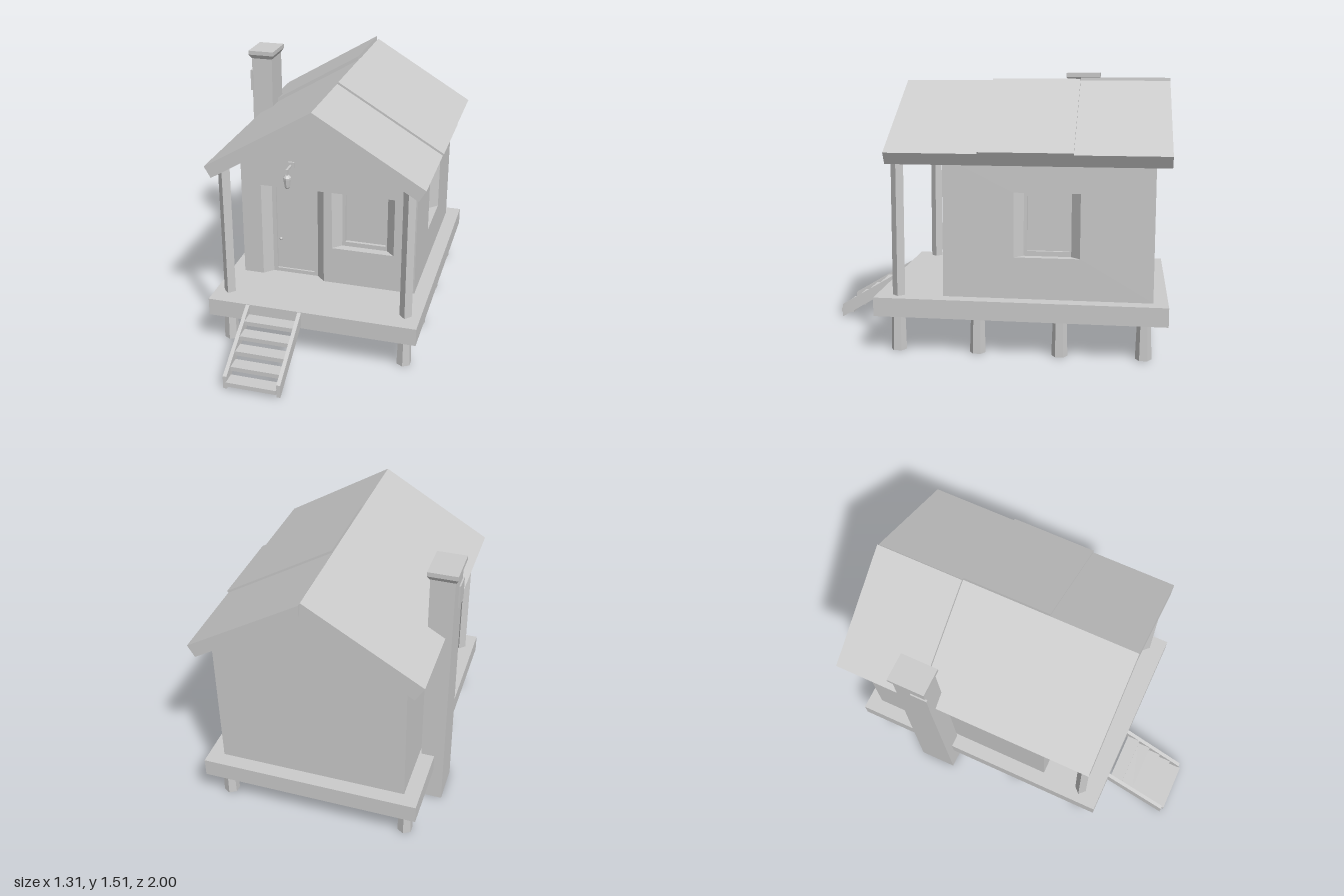
import * as THREE from 'three';

const mat = new THREE.MeshStandardMaterial({ color: 0xcccccc, flatShading: true, side: THREE.DoubleSide });
const DECK = 0.31, CX = 0.025, HALF = 0.525, FRONT = 0.225, BACK = -0.92;

function add(parent, name, geometry, x = 0, y = 0, z = 0) {
  const mesh = new THREE.Mesh(geometry, mat);
  mesh.name = name;
  mesh.position.set(x, y, z);
  parent.add(mesh);
  return mesh;
}

// Box given by its limits on each axis
function box(parent, name, x0, x1, y0, y1, z0, z1) {
  return add(parent, name, new THREE.BoxGeometry(x1 - x0, y1 - y0, z1 - z0),
    (x0 + x1) / 2, (y0 + y1) / 2, (z0 + z1) / 2);
}

const outline = (pts) => new THREE.Shape(pts.map(([x, y]) => new THREE.Vector2(x, y)));
const rect = (x0, x1, y0, y1) => outline([[x0, y0], [x1, y0], [x1, y1], [x0, y1]]);
const extrude = (shape, depth) => new THREE.ExtrudeGeometry(shape, { depth, bevelEnabled: false });

// Recess with splayed jambs behind an opening in a wall facing +z
function recess(parent, name, x0, x1, y0, y1, splay, depth) {
  const a = x0 + splay, b = x1 - splay, d = -depth;
  const geometry = new THREE.BufferGeometry();
  geometry.setAttribute('position', new THREE.Float32BufferAttribute([
    x0, y0, 0, x1, y0, 0, x1, y1, 0, x0, y1, 0,
    a, y0, d, b, y0, d, b, y1, d, a, y1, d], 3));
  const index = [];
  for (let i = 0; i < 4; i++) {
    const j = (i + 1) % 4;
    index.push(i, j, j + 4, i, j + 4, i + 4);
  }
  geometry.setIndex(index);
  const flat = geometry.toNonIndexed();
  flat.computeVertexNormals();
  add(parent, name, flat);
}

// Window: splayed recess, frame and sunken pane
function addWindow(parent, x0, x1, y0, y1) {
  recess(parent, 'windowRecess', x0, x1, y0, y1, 0.05, 0.05);
  const frame = rect(x0 + 0.05, x1 - 0.05, y0, y1);
  frame.holes.push(rect(x0 + 0.07, x1 - 0.06, y0 + 0.027, y1 - 0.025));
  add(parent, 'windowFrame', extrude(frame, 0.02), 0, 0, -0.07);
  box(parent, 'windowPane', x0 + 0.05, x1 - 0.05, y0, y1, -0.08, -0.07);
}

function addWalls(house) {
  const eave = 1.09, ridge = 1.41;
  const gable = () => outline([[CX - HALF, DECK], [CX + HALF, DECK], [CX + HALF, eave], [CX, ridge], [CX - HALF, eave]]);

  const front = new THREE.Group();
  front.name = 'frontWall';
  front.position.z = FRONT;
  house.add(front);
  // The doorway is part of the outline as it reaches the floor
  const frontShape = outline([[CX - HALF, DECK], [-0.38, DECK], [-0.38, 0.895], [0, 0.895], [0, DECK],
    [CX + HALF, DECK], [CX + HALF, eave], [CX, ridge], [CX - HALF, eave]]);
  frontShape.holes.push(rect(0.05, 0.42, 0.54, 0.895));
  add(front, 'frontGable', new THREE.ShapeGeometry(frontShape));
  addWindow(front, 0.05, 0.42, 0.54, 0.895);

  recess(front, 'doorRecess', -0.38, 0, DECK, 0.895, 0.05, 0.05);
  const doorFrame = rect(-0.33, -0.05, DECK, 0.895);
  doorFrame.holes.push(rect(-0.305, -0.072, 0.333, 0.87));
  add(front, 'doorFrame', extrude(doorFrame, 0.015), 0, 0, -0.065);
  box(front, 'door', -0.33, -0.05, DECK, 0.895, -0.08, -0.062);
  add(front, 'doorKnob', new THREE.SphereGeometry(0.009, 10, 8), -0.28, 0.535, -0.048);

  add(house, 'backWall', new THREE.ShapeGeometry(gable()), 0, 0, BACK);

  // Side walls are drawn facing +z, then turned so that their x runs along -z
  const left = new THREE.Group();
  left.name = 'leftWall';
  left.position.x = CX + HALF;
  left.rotation.y = Math.PI / 2;
  house.add(left);
  const side = rect(-FRONT, -BACK, DECK, eave);
  side.holes.push(rect(0.165, 0.525, 0.54, 0.895));
  add(left, 'sideWall', new THREE.ShapeGeometry(side));
  addWindow(left, 0.165, 0.525, 0.54, 0.895);
  const right = add(house, 'rightWall', new THREE.ShapeGeometry(rect(-FRONT, -BACK, DECK, eave)), CX - HALF);
  right.rotation.y = Math.PI / 2;
}

// Roof slab on one side; lift raises its top surface square to the slope
function roofPanel(house, s, z0, z1, lift) {
  const nx = 0.515 * lift, ny = 0.857 * lift;
  const p = [[nx, 1.48 + ny], [0.62 + nx, 1.11 + ny], [0.582, 1.045], [0, 1.395]];
  add(house, 'roofPanel', extrude(outline(p.map(([x, y]) => [CX + s * x, y])), z1 - z0), 0, 0, z0);
}

function addStairs(house) {
  const stairs = new THREE.Group();
  stairs.name = 'stairs';
  house.add(stairs);
  const stringer = outline([[-0.595, 0.31], [-0.985, 0.078], [-0.985, 0], [-0.595, 0.232]]);
  for (const x of [-0.356, -0.047]) {
    const mesh = add(stairs, 'stringer', extrude(stringer, 0.022), x);
    mesh.rotation.y = Math.PI / 2;
  }
  for (let i = 0; i < 5; i++) {
    const y = 0.024 + i * 0.051, z = 0.998 - i * 0.077;
    box(stairs, 'tread', -0.335, -0.046, y, y + 0.026, z - 0.078, z);
  }
}

function addChimney(house) {
  const chimney = new THREE.Group();
  chimney.name = 'chimney';
  house.add(chimney);
  // Square stack whose depth narrows a little toward the top
  const stack = new THREE.BoxGeometry(0.13, 1.47, 0.205);
  const pos = stack.attributes.position;
  for (let i = 0; i < pos.count; i++) pos.setZ(i, pos.getZ(i) * (pos.getY(i) < 0 ? 1.08 : 0.88));
  add(chimney, 'stack', stack, -0.575, 0.735, -0.482);
  const flare = new THREE.BoxGeometry(0.16, 0.025, 0.212);
  const fp = flare.attributes.position;
  for (let i = 0; i < fp.count; i++) {
    if (fp.getY(i) < 0) fp.setXYZ(i, fp.getX(i) * 0.82, fp.getY(i), fp.getZ(i) * 0.86);
  }
  add(chimney, 'capFlare', flare, -0.575, 1.4775, -0.48);
  box(chimney, 'cap', -0.655, -0.495, 1.49, 1.515, -0.586, -0.374);
  box(chimney, 'ventPlate', -0.648, -0.635, 1.26, 1.39, -0.475, -0.378);
}

function addLamp(house) {
  const lamp = new THREE.Group();
  lamp.name = 'porchLamp';
  lamp.position.set(-0.188, 0, 0);
  house.add(lamp);
  box(lamp, 'mount', -0.018, 0.018, 1.028, 1.062, FRONT, 0.237);
  box(lamp, 'arm', -0.006, 0.006, 1.036, 1.048, 0.23, 0.315);
  box(lamp, 'hanger', -0.006, 0.006, 1.005, 1.045, 0.303, 0.315);
  const profile = [[0, 0.93], [0.01, 0.932], [0.016, 0.942], [0.024, 0.99], [0.024, 1.0], [0.012, 1.014], [0, 1.016]];
  add(lamp, 'lantern', new THREE.LatheGeometry(profile.map(([r, y]) => new THREE.Vector2(r, y)), 8), 0, 0, 0.309);
}

export function createModel() {
  const house = new THREE.Group();
  house.name = 'stiltCabin';

  box(house, 'deck', -0.585, 0.635, 0.205, DECK, -1, 0.6);
  for (const x of [CX - HALF, CX + HALF]) {
    // Six-sided stilts under the deck and a diamond post on the porch
    for (const z of [0.478, 0.032, -0.42, -0.873]) {
      add(house, 'stilt', new THREE.CylinderGeometry(0.038, 0.044, 0.21, 6), x, 0.105, z);
    }
    add(house, 'porchPost', new THREE.CylinderGeometry(0.035, 0.035, 0.79, 4), x, 0.7, 0.475);
  }

  addWalls(house);

  roofPanel(house, 1, 0.02, 0.53, 0);
  roofPanel(house, 1, -0.49, 0.02, 0.012);
  roofPanel(house, 1, -1, -0.49, 0);
  roofPanel(house, -1, -0.49, 0.53, 0);
  roofPanel(house, -1, -1, -0.49, 0.02);

  addStairs(house);
  addChimney(house);
  addLamp(house);
  return house;
}
